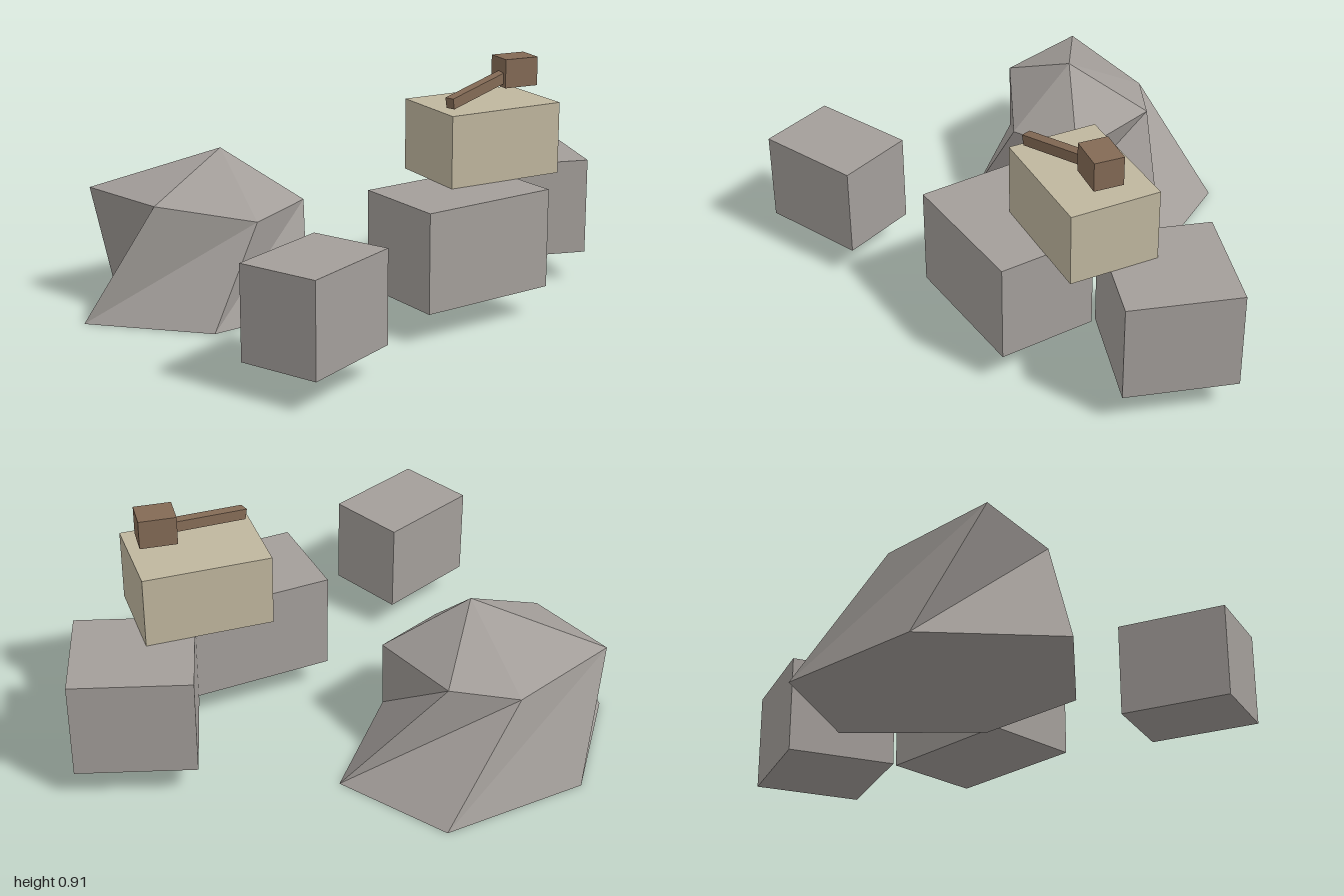
import * as THREE from 'three';

function material(name, color) {
  const m = new THREE.MeshStandardMaterial({ color, flatShading: true });
  m.name = name;
  return m;
}

// Faceted boulder: a ring of ground points, a ring of shoulder points and a peak
function boulderGeometry() {
  const peak = [-0.445, 0.597, -0.325];
  const shoulders = [
    [-0.89, 0.445, -0.53], [-0.75, 0.44, -0.195], [-0.4, 0.37, -0.075],
    [-0.15, 0.385, -0.235], [-0.285, 0.41, -0.59], [-0.525, 0.385, -0.67],
  ];
  const ground = [
    [-0.755, 0, -0.725], [-1, 0, -0.29], [-0.605, 0, 0.012],
    [-0.205, 0, -0.075], [0.078, 0, -0.5], [-0.215, 0, -0.85],
  ];
  const corners = [];
  for (let i = 0; i < 6; i++) {
    const j = (i + 1) % 6;
    corners.push(peak, shoulders[i], shoulders[j]); // cap
    corners.push(shoulders[j], shoulders[i], ground[i]); // flank
    corners.push(shoulders[j], ground[i], ground[j]);
    if (i > 0 && j > 0) corners.push(ground[0], ground[j], ground[i]); // underside
  }
  const g = new THREE.BufferGeometry();
  g.setAttribute('position', new THREE.Float32BufferAttribute(corners.flat(), 3));
  g.computeVertexNormals();
  return g;
}

export function createModel() {
  const group = new THREE.Group();
  const stone = material('grey stone', 0xa39e9a);
  const paleStone = material('pale stone', 0xbfb69e);
  const wood = material('brown wood', 0x836a55);

  const add = (name, geometry, mat) => {
    const mesh = new THREE.Mesh(geometry, mat);
    mesh.name = name;
    group.add(mesh);
    return mesh;
  };
  const block = (name, size, position, turn, mat) => {
    const mesh = add(name, new THREE.BoxGeometry(...size), mat);
    mesh.position.set(...position);
    mesh.rotation.y = turn;
  };

  add('boulder', boulderGeometry(), stone);

  // Cut blocks
  block('smallBlock', [0.404, 0.34, 0.304], [-0.473, 0.286, 0.617], 0.525, stone);
  block('frontBlock', [0.54, 0.37, 0.37], [0.27, 0.301, 0.258 - 0.045], 0.18, stone);
  block('backBlock', [0.435, 0.37, 0.41], [0.746, 0.301, -0.193], -0.2, stone);
  block('topBlock', [0.467, 0.27, 0.333], [0.472, 0.621, 0.012], 0.075, paleStone);

  // Mallet
  block('malletHead', [0.135, 0.108, 0.108], [0.608, 0.86, 0.01], 0, wood);
  const start = new THREE.Vector3(0.27, 0.79, 0.137);
  const end = new THREE.Vector3(0.6, 0.853, 0.005);
  const handle = add('malletHandle', new THREE.BoxGeometry(0.037, 0.04, start.distanceTo(end)), wood);
  handle.position.copy(start).lerp(end, 0.5);
  handle.lookAt(end);

  return group;
}
